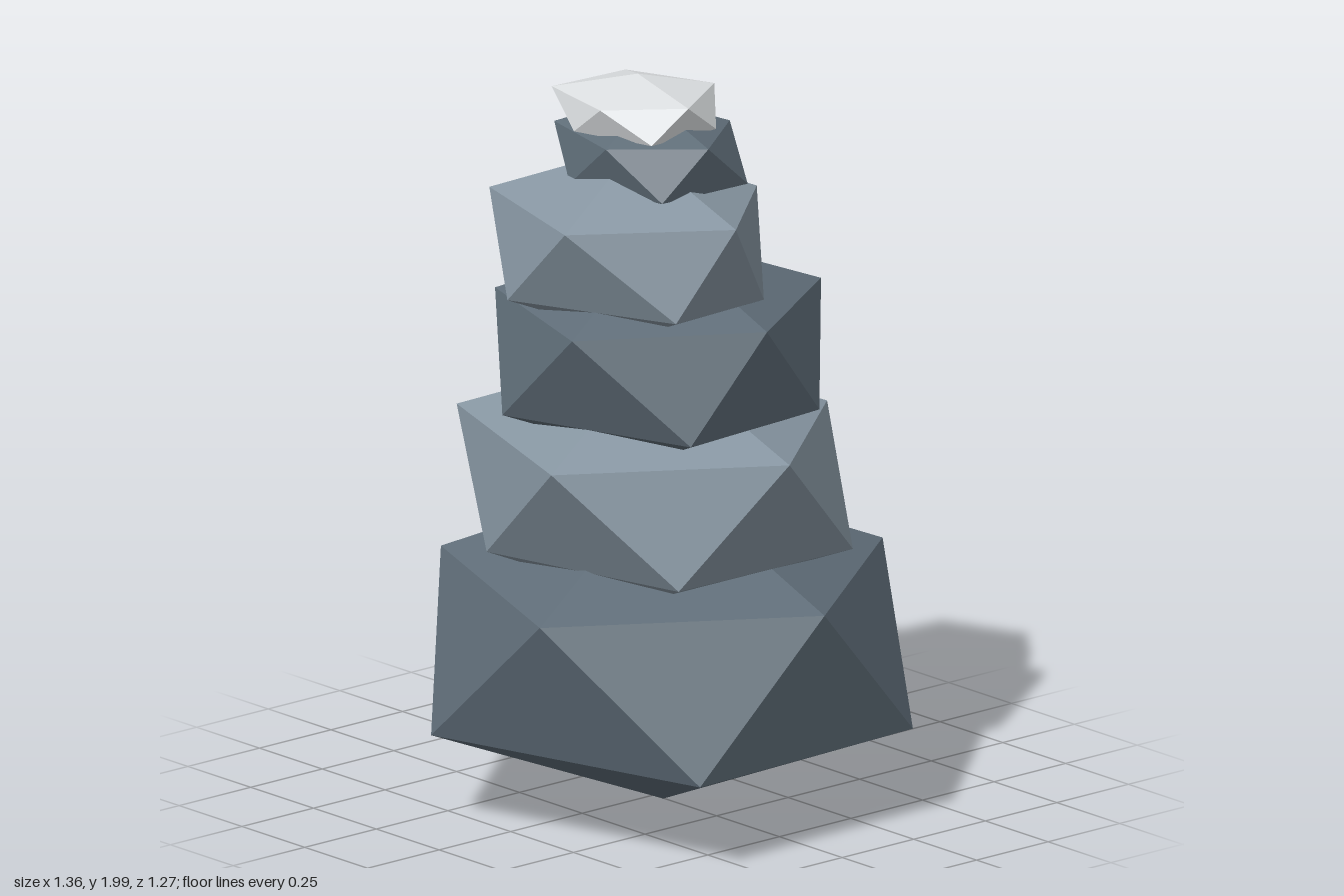
import * as THREE from 'three';

// One rough, squashed icosahedral rock. The outline runs from +x towards +z,
// alternating between the upper ring and the lower ring.
function rockGeometry(outline, lowY, highY) {
  const ring = outline.map(([x, z], i) => new THREE.Vector3(x, i % 2 ? lowY : highY, z));
  const centre = ring.reduce((sum, p) => sum.add(p), new THREE.Vector3()).divideScalar(ring.length);
  const reach = (highY - lowY) / 0.894;
  const top = centre.clone().setY(centre.y + reach);
  const bottom = centre.clone().setY(Math.max(0, centre.y - reach));

  const corners = [];
  for (let i = 0; i < 10; i++) {
    const a = ring[i], b = ring[(i + 1) % 10], c = ring[(i + 2) % 10];
    if (i % 2 === 0) corners.push(a, c, b, top, c, a);
    else corners.push(a, b, c, bottom, a, c);
  }
  const geometry = new THREE.BufferGeometry().setFromPoints(corners);
  geometry.computeVertexNormals();
  return geometry;
}

export function createModel() {
  const material = (name, color) => {
    const m = new THREE.MeshStandardMaterial({ color });
    m.name = name;
    return m;
  };
  const darkStone = material('dark slate', 0x5f6d78);
  const lightStone = material('light slate', 0x8796a2);
  const paleStone = material('pale cap', 0xdcdfe1);

  // Rocks from the ground up
  const rocks = [
    { name: 'baseRock', mat: darkStone, low: 0.25, high: 0.65, outline: [
      [0.68, 0], [0.64, 0.4], [0.27, 0.635], [-0.18, 0.62], [-0.46, 0.34],
      [-0.68, 0], [-0.53, -0.38], [-0.19, -0.64], [0.25, -0.58], [0.61, -0.37]] },
    { name: 'secondRock', mat: lightStone, low: 0.735, high: 1.045, outline: [
      [0.575, 0.03], [0.475, 0.33], [0.23, 0.56], [-0.13, 0.47], [-0.42, 0.32],
      [-0.58, 0.01], [-0.42, -0.29], [-0.13, -0.45], [0.2, -0.43], [0.485, -0.27]] },
    { name: 'thirdRock', mat: darkStone, low: 1.115, high: 1.39, outline: [
      [0.485, 0.03], [0.455, 0.27], [0.21, 0.47], [-0.09, 0.45], [-0.29, 0.3],
      [-0.45, 0.03], [-0.34, -0.24], [-0.09, -0.38], [0.21, -0.4], [0.42, -0.21]] },
    { name: 'fourthRock', mat: lightStone, low: 1.435, high: 1.67, outline: [
      [0.43, 0.09], [0.385, 0.26], [0.17, 0.46], [-0.07, 0.45], [-0.29, 0.32],
      [-0.365, 0.1], [-0.29, -0.13], [-0.06, -0.23], [0.165, -0.215], [0.37, -0.06]] },
    { name: 'fifthRock', mat: darkStone, low: 1.72, high: 1.85, outline: [
      [0.28, 0.055], [0.25, 0.19], [0.105, 0.26], [-0.05, 0.25], [-0.18, 0.19],
      [-0.21, 0.05], [-0.2, -0.105], [-0.01, -0.16], [0.12, -0.16], [0.26, -0.1]] },
    { name: 'capRock', mat: paleStone, low: 1.86, high: 1.943, outline: [
      [0.2, 0.055], [0.185, 0.17], [0.06, 0.24], [-0.05, 0.235], [-0.19, 0.19],
      [-0.21, 0.05], [-0.175, -0.055], [-0.06, -0.11], [0.07, -0.15], [0.18, -0.06]] },
  ];

  const model = new THREE.Group();
  model.name = 'stackedRocks';
  for (const { name, mat, low, high, outline } of rocks) {
    const mesh = new THREE.Mesh(rockGeometry(outline, low, high), mat);
    mesh.name = name;
    model.add(mesh);
  }
  return model;
}
